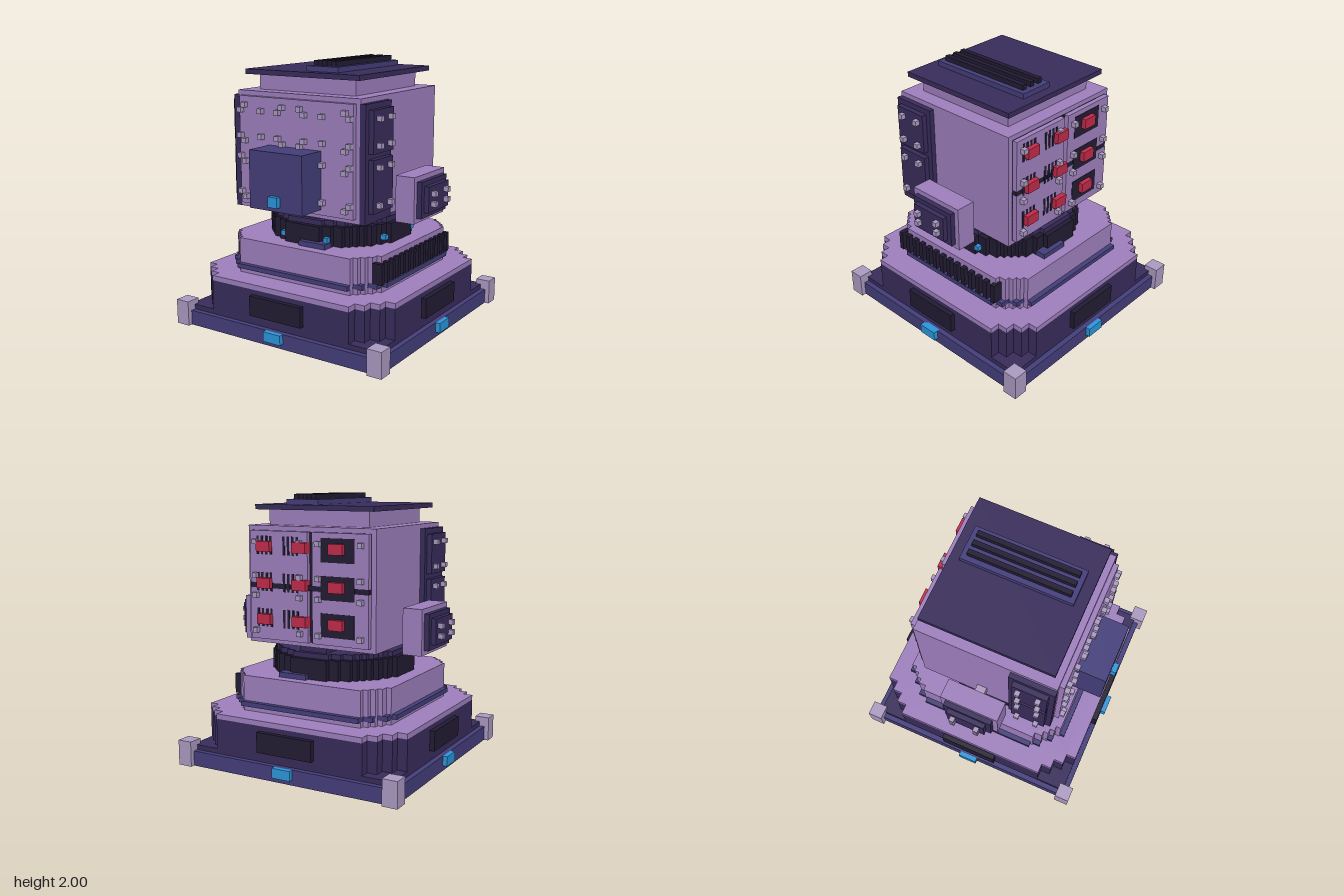
import * as THREE from 'three';

const mat = (color) => new THREE.MeshStandardMaterial({ color, flatShading: true });
const LILAC = mat(0xa081c0), DARK = mat(0x392d5c), NAVY = mat(0x453f7c), BLACK = mat(0x221c33);
const PALE = mat(0xad9cc4), BLUE = mat(0x2c98dd), RED = mat(0xc42c4c);
const V = 0.0377; // size of one block

export function createModel() {
  const root = new THREE.Group();

  // box given by its minimum and maximum on each axis
  const box = (name, m, x0, x1, y0, y1, z0, z1, parent = root) => {
    const mesh = new THREE.Mesh(new THREE.BoxGeometry(x1 - x0, y1 - y0, z1 - z0), m);
    mesh.position.set((x0 + x1) / 2, (y0 + y1) / 2, (z0 + z1) / 2);
    mesh.name = name;
    parent.add(mesh);
    return mesh;
  };

  // prism with stair-stepped corners; steps are [half width x, half depth z] pairs
  const stepped = (name, m, y0, y1, steps) => {
    const quad = [];
    steps.forEach(([x, z], i) => {
      if (i === 0) quad.push([0, z]);
      quad.push([x, z]);
      quad.push([x, i + 1 < steps.length ? steps[i + 1][1] : 0]);
    });
    const back = [...quad].reverse();
    const pts = [
      ...quad,
      ...back.map(([x, z]) => [x, -z]),
      ...quad.map(([x, z]) => [-x, -z]),
      ...back.map(([x, z]) => [-x, z]),
    ].filter(([x, z]) => x !== 0 && z !== 0).map(([x, z]) => new THREE.Vector2(x, z));
    const geo = new THREE.ExtrudeGeometry(new THREE.Shape(pts), { depth: y1 - y0, bevelEnabled: false });
    geo.rotateX(-Math.PI / 2).translate(0, y0, 0);
    const mesh = new THREE.Mesh(geo, m);
    mesh.name = name;
    root.add(mesh);
  };

  // block-stepped circle
  const disc = (r) => {
    const steps = [];
    const n = Math.round(r / V);
    for (let i = 1; i <= n; i++) {
      const z = Math.round(Math.sqrt(Math.max(0, n * n - (i - 0.5) ** 2))) * V;
      const last = steps[steps.length - 1];
      if (last && last[1] === z) last[0] = i * V;
      else steps.push([i * V, z]);
    }
    return steps;
  };

  // base plate with corner posts, lights and dark vents on all four sides
  box('basePlate', NAVY, -0.87, 0.87, 0, 0.113, -0.87, 0.87);
  for (const sx of [-1, 1]) for (const sz of [-1, 1]) {
    const post = box('cornerPost', PALE, -0.057, 0.057, 0, 0.19, -0.057, 0.057);
    post.position.x = sx * 0.848;
    post.position.z = sz * 0.848;
  }
  for (let i = 0; i < 4; i++) {
    const side = new THREE.Group();
    side.name = 'baseSide';
    side.rotation.y = i * Math.PI / 2;
    box('baseLight', BLUE, -0.075, 0.075, 0.04, 0.113, 0.85, 0.905, side);
    box('baseVent', BLACK, -0.226, 0.226, 0.19, 0.34, 0.8, 0.867, side);
    root.add(side);
  }

  // lower body
  const lower = [[0.603, 0.83], [0.68, 0.755], [0.755, 0.68], [0.83, 0.603]];
  box('baseStep', DARK, -0.83, 0.83, 0.113, 0.15, -0.83, 0.83);
  stepped('lowerBody', DARK, 0.15, 0.377, lower);
  stepped('lowerBodyTrim', LILAC, 0.377, 0.415, lower);

  // second tier with its belt and the fins on the left side
  stepped('upperTier', LILAC, 0.415, 0.68,
    [[0.49, 0.641], [0.528, 0.603], [0.566, 0.566], [0.603, 0.528], [0.641, 0.47]]);
  stepped('tierBelt', NAVY, 0.455, 0.49,
    [[0.49, 0.679], [0.566, 0.605], [0.641, 0.53], [0.679, 0.455]]);
  for (let i = 0; i < 14; i++) {
    const z = 0.53 - i * 2 * V;
    box('fin', BLACK, 0.6, 0.679, 0.49, 0.641, z - V, z);
  }

  // turntable and neck
  stepped('turntable', BLACK, 0.68, 0.83, disc(0.528));
  stepped('turntableTop', DARK, 0.83, 0.868, disc(0.49));
  box('neck', DARK, -0.113, 0.113, 0.868, 0.91, -0.455, 0.455);
  for (const [x, z] of [[-0.17, 0.51], [0.205, 0.51], [0.51, 0.21], [0.51, -0.165]])
    box('turntableLight', BLUE, x - V / 2, x + V / 2, 0.72, 0.757, z - V / 2, z + V / 2);
  for (const s of [-1, 1])
    box('turntableStop', NAVY, 0, 0.226, 0.68, 0.718, s * 0.51 - 0.056, s * 0.51 + 0.056);

  // head
  box('head', LILAC, -0.528, 0.528, 0.91, 1.775, -0.488, 0.568);
  box('facePlate', LILAC, -0.49, 0.49, 0.945, 1.74, 0.56, 0.605);
  const rivet = (x, y, z, parent = root) =>
    box('rivet', PALE, x - V / 2, x + V / 2, y - V / 2, y + V / 2, z - V / 2, z + V / 2, parent);

  // face rivets: double at panel corners, single between
  for (const [y, dy] of [[1.64, V], [1.455, -V], [1.305, -V], [1.04, -V]]) {
    for (const [x, dx] of [[-0.47, V], [-0.135, V], [0.092, -V], [0.47, -V]]) {
      if (y < 1.4 && Math.abs(x) < 0.2) continue;
      rivet(x, y, 0.622);
      rivet(x + dx, y + dy, 0.622);
    }
    for (const x of [-0.285, 0.245]) rivet(x, y, 0.622);
  }

  // projecting front box with light
  box('frontBox', NAVY, -0.226, 0.226, 0.985, 1.4, 0.6, 0.83);
  box('frontLight', BLUE, -0.038, 0.038, 1.02, 1.095, 0.82, 0.868);

  // both sides: armour panels and side pods
  for (const s of [-1, 1]) {
    const side = new THREE.Group();
    side.name = s > 0 ? 'leftSide' : 'rightSide';
    const sbox = (name, m, x0, x1, ...r) =>
      box(name, m, Math.min(s * x0, s * x1), Math.max(s * x0, s * x1), ...r, side);
    sbox('sidePanel', DARK, 0.52, 0.566, 0.91, 1.74, 0.23, 0.57);
    sbox('upperSidePlate', DARK, 0.56, 0.605, 1.4, 1.7, 0.268, 0.53);
    sbox('lowerSidePlate', DARK, 0.56, 0.605, 0.985, 1.36, 0.268, 0.53);
    for (const y of [1.64, 1.455, 1.305, 1.04])
      for (const z of [0.47, 0.32]) rivet(s * 0.622, y, z, side);
    sbox('podAxle', PALE, 0.52, 0.61, 1.0, 1.08, -0.038, 0.038);
    sbox('pod', LILAC, 0.605, 0.755, 0.87, 1.207, -0.226, 0.226);
    sbox('podPlate', DARK, 0.75, 0.793, 0.905, 1.17, -0.188, 0.188);
    sbox('podCap', DARK, 0.79, 0.83, 0.945, 1.135, -0.15, 0.15);
    for (const y of [1.08, 1.005])
      for (const z of [-0.095, 0.095]) rivet(s * 0.848, y, z, side);
    root.add(side);
  }

  // back: four plates with dark seams, grilles, red blocks and rivets
  box('backSeamPlate', BLACK, -0.49, 0.49, 0.945, 1.74, -0.495, -0.48);
  box('backSeam', BLACK, -0.49, 0.49, 1.324, 1.362, -0.524, -0.48);
  for (const [x0, x1] of [[-0.49, -0.038], [0, 0.49]])
    for (const [y0, y1] of [[0.945, 1.324], [1.362, 1.74]])
      box('backPlate', LILAC, x0, x1, y0, y1, -0.528, -0.485);
  for (const y of [1.628, 1.362, 1.098]) {
    for (const x of [-0.245, 0.055, 0.357])
      box('redBlock', RED, x - 0.057, x + 0.057, y - 0.038, y + 0.038, -0.566, -0.48);
    box('grille', BLACK, -0.38, -0.11, y - 0.095, y + 0.075, -0.531, -0.48);
    for (let i = 0; i < 4; i++)
      for (const x of [0.075, 0.3])
        box('grilleSlat', BLACK, x + i * V, x + i * V + V / 2, y - 0.06, y + 0.075, -0.531, -0.48);
  }
  for (const y of [1.66, 1.415, 1.27, 1.01])
    for (const x of [-0.435, -0.095, 0.06, 0.435]) rivet(x, y, -0.545);

  // roof
  box('roofNeck', LILAC, -0.415, 0.415, 1.775, 1.89, -0.38, 0.455);
  box('roofPlate', DARK, -0.49, 0.49, 1.888, 1.925, -0.455, 0.53);
  box('roofVent', NAVY, 0, 0.264, 1.925, 1.963, -0.38, 0.45);
  for (let i = 0; i < 3; i++) {
    const x = V * (1 + 2 * i);
    box('roofVentBar', BLACK, x, x + V, 1.96, 2, -0.34, 0.415);
  }
  return root;
}
